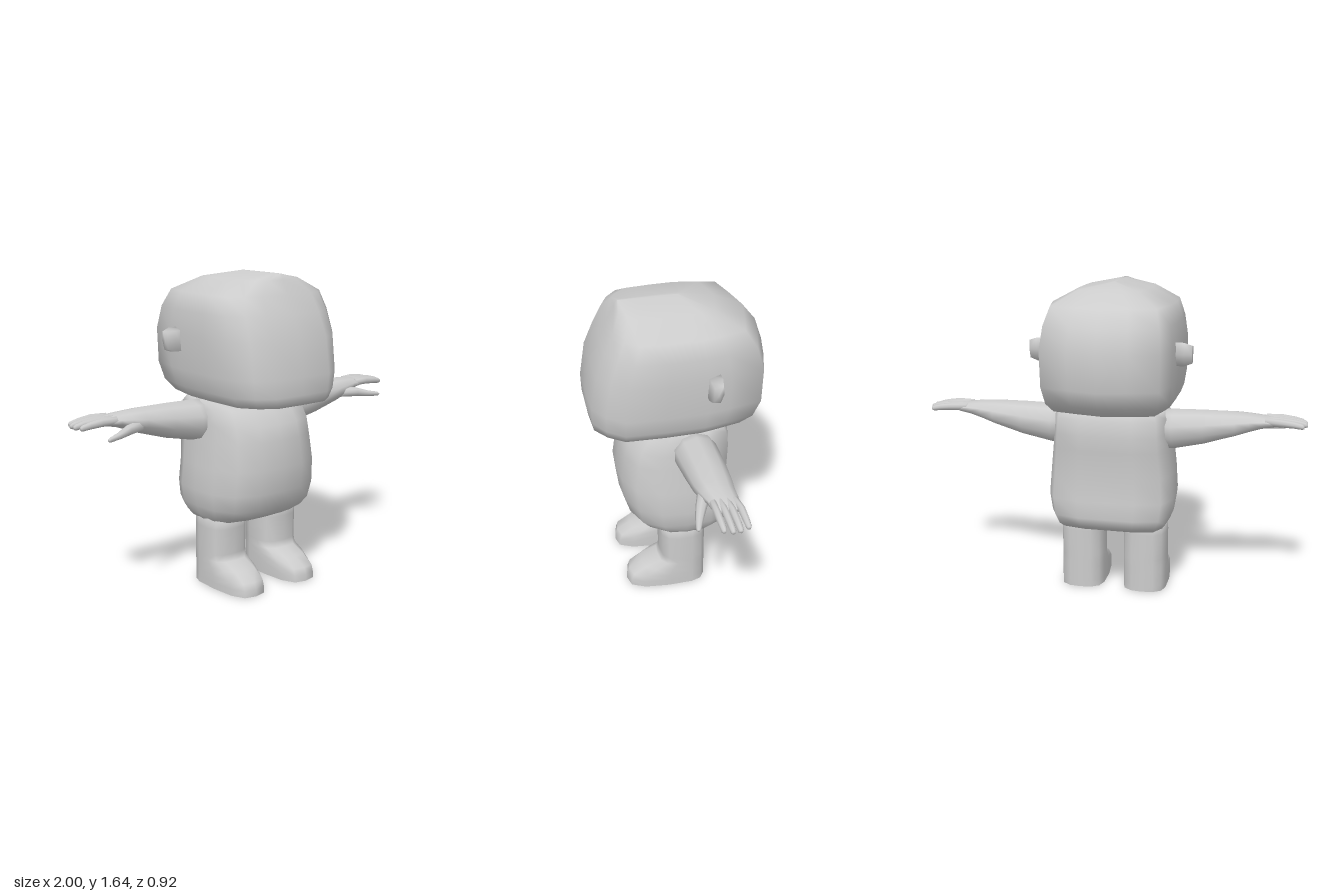
import * as THREE from 'three';

const clay = new THREE.MeshStandardMaterial({ color: 0xcccccc });
clay.name = 'light grey';

// Skin a stack of equal-length rings, closing both ends; sharpStart gives a crisp first cap.
function loft(rings, sharpStart = false) {
  const n = rings[0].length, pos = [], index = [];
  const add = (p) => pos.push(p[0], p[1], p[2]) / 3 - 1;
  const centre = (ring) => [0, 1, 2].map((k) => ring.reduce((s, p) => s + p[k], 0) / n);
  rings.forEach((ring) => ring.forEach(add));
  for (let i = 0; i < rings.length - 1; i++) {
    for (let j = 0; j < n; j++) {
      const a = i * n + j, b = i * n + (j + 1) % n;
      index.push(a, b, a + n, b, b + n, a + n);
    }
  }
  let start = 0;
  if (sharpStart) {
    start = pos.length / 3;
    rings[0].forEach(add);
  }
  const first = add(centre(rings[0]));
  const last = add(centre(rings[rings.length - 1]));
  const end = (rings.length - 1) * n;
  for (let j = 0; j < n; j++) {
    const k = (j + 1) % n;
    index.push(first, start + k, start + j, last, end + j, end + k);
  }
  const g = new THREE.BufferGeometry();
  g.setAttribute('position', new THREE.Float32BufferAttribute(pos, 3));
  g.setIndex(index);
  g.computeVertexNormals();
  return g;
}

// Upright form: levels are [y, halfWidth, zFront, zBack]; half is the +x outline from front to back.
function upright(levels, half, sharpStart) {
  const outline = half.concat(half.slice(1, -1).reverse().map(([x, z]) => [-x, z]));
  return loft(levels.map(([y, w, zf, zb]) =>
    outline.map(([x, z]) => [x * w, y, z > 0 ? z * zf : -z * zb])), sharpStart);
}

// Sideways form: stations are [x, y, z, halfHeight, halfDepth].
function sideways(stations, sides) {
  return loft(stations.map(([x, y, z, h, d]) => Array.from({ length: sides }, (_, i) => {
    const a = (i / sides) * Math.PI * 2;
    return [x, y + Math.cos(a) * h, z + Math.sin(a) * d];
  })));
}

// Mirror a geometry in x, keeping the faces outward.
function mirrored(geometry) {
  const g = geometry.clone().scale(-1, 1, 1);
  const ix = g.index.array;
  for (let i = 0; i < ix.length; i += 3) [ix[i], ix[i + 1]] = [ix[i + 1], ix[i]];
  g.computeVertexNormals();
  return g;
}

export function createModel() {
  const model = new THREE.Group();
  model.name = 'figure';
  const add = (name, geometry) => {
    const mesh = new THREE.Mesh(geometry, clay);
    mesh.name = name;
    model.add(mesh);
  };
  const addPair = (name, geometry) => {
    add('left' + name, geometry);
    add('right' + name, mirrored(geometry));
  };

  // Head: broad sloping face, pointed back, ridged crown
  add('head', upright([
    [0.98, 0.20, 0.30, -0.22], [1.01, 0.30, 0.45, -0.34], [1.06, 0.33, 0.458, -0.41],
    [1.15, 0.345, 0.46, -0.455], [1.33, 0.35, 0.43, -0.46], [1.45, 0.337, 0.38, -0.42],
    [1.54, 0.31, 0.337, -0.35], [1.61, 0.18, 0.295, -0.20], [1.64, 0.01, 0.28, -0.03],
  ], [
    [0, 1], [0.5, 0.99], [0.76, 0.87], [0.96, 0.69], [1, 0.25], [1, -0.2],
    [0.95, -0.45], [0.86, -0.82], [0.43, -0.92], [0, -1],
  ]));

  // Ears
  addPair('Ear', loft([[0.32, 1], [0.38, 0.98], [0.42, 0.75]].map(([x, s]) => [
    [0.062, -0.03], [0.05, 0.028], [-0.055, 0.035], [-0.062, -0.012], [0, -0.035],
  ].map(([y, z]) => [x, 1.3 + y * s, -0.118 + z * s]))));

  // Body: rounded belly and flat back
  add('body', upright([
    [0.335, 0.18, 0.09, -0.11], [0.36, 0.28, 0.17, -0.19], [0.39, 0.30, 0.23, -0.237],
    [0.44, 0.32, 0.28, -0.255], [0.53, 0.335, 0.305, -0.248], [0.66, 0.325, 0.32, -0.237],
    [0.80, 0.31, 0.30, -0.25], [0.88, 0.305, 0.28, -0.255], [0.96, 0.30, 0.22, -0.245],
    [0.995, 0.28, 0.16, -0.22],
  ], [
    [0, 1], [0.4, 0.97], [0.76, 0.8], [0.95, 0.45], [1, 0], [0.98, -0.5],
    [0.85, -0.87], [0.45, -1], [0, -1],
  ]));

  // Arms and palms
  addPair('Arm', sideways([
    [0.22, 0.89, -0.04, 0.107, 0.112], [0.32, 0.893, -0.04, 0.106, 0.112],
    [0.48, 0.912, -0.04, 0.09, 0.107], [0.64, 0.936, -0.036, 0.064, 0.098],
    [0.71, 0.947, -0.038, 0.048, 0.086], [0.77, 0.955, -0.044, 0.034, 0.077],
    [0.83, 0.958, -0.046, 0.024, 0.07], [0.86, 0.958, -0.046, 0.014, 0.06],
  ], 10));

  // Fingers
  [[-0.105, 0.985], [-0.063, 1], [-0.028, 1], [0.01, 0.985]].forEach(([z, tip], i) => {
    addPair('Finger' + (i + 1), sideways([
      [0.79, 0.965, z * 0.9, 0.02, 0.017], [0.87, 0.966, z, 0.021, 0.018],
      [tip - 0.05, 0.96, z, 0.018, 0.017], [tip - 0.01, 0.953, z, 0.015, 0.014],
      [tip, 0.951, z, 0.009, 0.009],
    ], 8));
  });

  // Thumbs
  addPair('Thumb', sideways([
    [0.66, 0.925, 0.015, 0.03, 0.035], [0.75, 0.92, 0.052, 0.026, 0.03],
    [0.82, 0.907, 0.08, 0.017, 0.021], [0.88, 0.9, 0.1, 0.012, 0.013],
    [0.89, 0.899, 0.102, 0.006, 0.007],
  ], 8));

  // Legs with feet, flat soles
  addPair('Leg', upright([
    [0, 0.115, 0.31, -0.12], [0.035, 0.115, 0.308, -0.12], [0.07, 0.115, 0.295, -0.12],
    [0.112, 0.115, 0.225, -0.12], [0.145, 0.115, 0.135, -0.12], [0.18, 0.115, 0.122, -0.12],
    [0.32, 0.115, 0.125, -0.12], [0.40, 0.11, 0.125, -0.12],
  ], [
    [0, 1], [0.55, 0.95], [0.86, 0.72], [1, 0.3], [1, -0.3], [0.86, -0.72],
    [0.5, -0.95], [0, -1],
  ], true).translate(0.17, 0, 0));

  return model;
}
